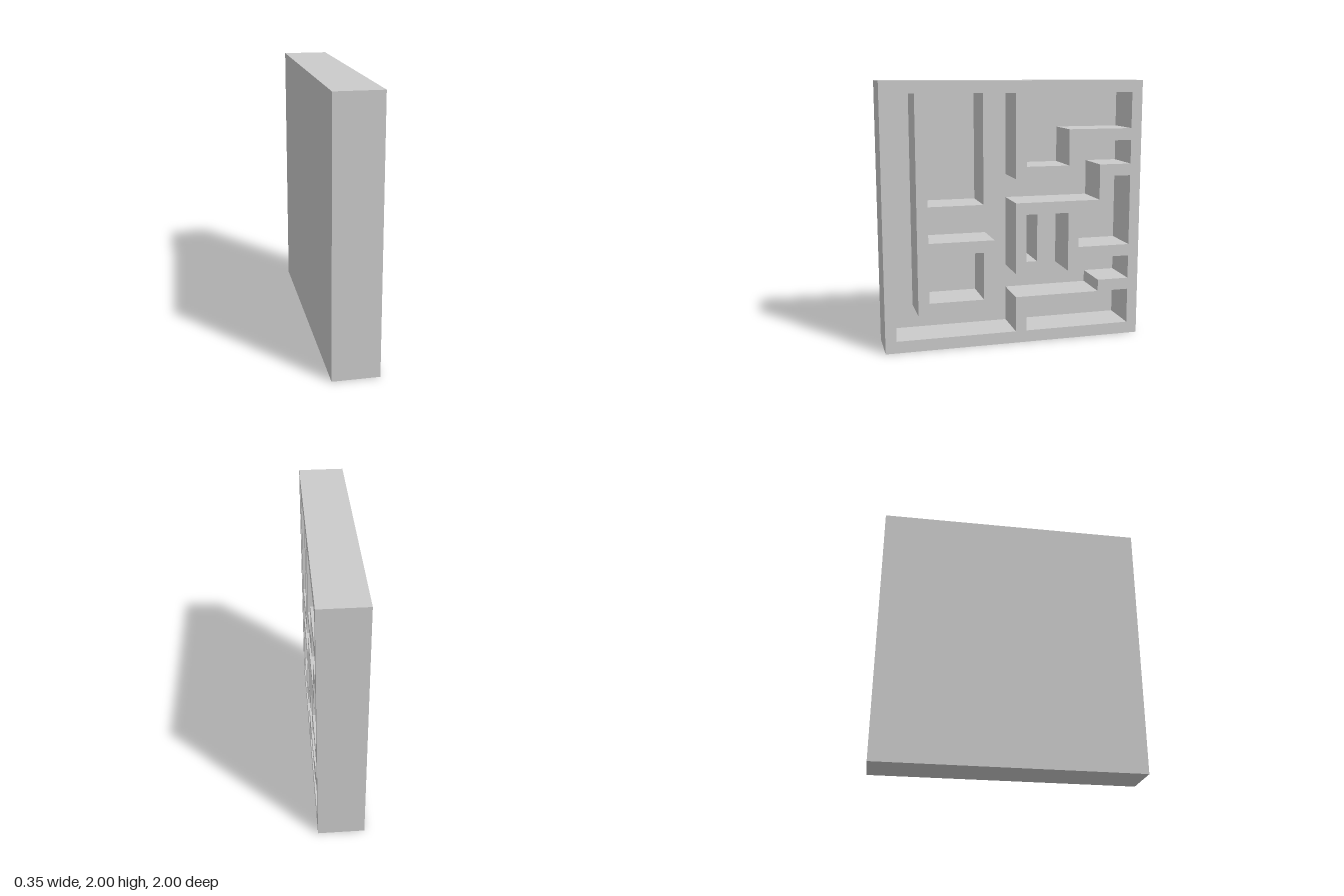
import * as THREE from 'three';

const DEPTH = 0.346;  // full thickness along x
const FLOOR = 0.03;   // thickness of the closed back

// Grid corner -> shape point: columns are 1/12 unit, rows 1/11 unit.
const corner = (col, row) => new THREE.Vector2(col / 12, row / 11);

// Right-angled outline from a start corner and alternating row / column stops.
function outline(col, row, ...stops) {
  const points = [corner(col, row)];
  stops.forEach((stop, i) => {
    if (i % 2 === 0) row = stop; else col = stop;
    points.push(corner(col, row));
  });
  return points;
}

export function createModel() {
  const group = new THREE.Group();
  group.name = 'mazePanel';
  const material = new THREE.MeshStandardMaterial({ color: 0xcccccc, flatShading: true });

  // Pockets between the maze walls, all clockwise
  const pockets = [
    outline(-8, 12, 21, -3, 12),                 // tall upper room
    outline(-8, 4, 8, -3, 4),                    // square lower room
    outline(1, 15, 21, 11, 18, 5, 15),           // stepped upper corner
    outline(1, 1, 3, 9, 4, 11, 1),               // stepped lower corner
    outline(1, 7, 11, 2, 7),                     // narrow slot
    outline(6, 8, 11, 9, 14, 11, 8),             // side room
    // winding main corridor
    outline(-11, 1, 21, -9, 3, -2, 9, -8, 11, -2, 21, 0, 14, 6, 17, 11, 15, 8, 12,
      0, 6, 3, 11, 5, 6, 6, 7, 11, 5, 8, 4, 0, 1),
  ];

  // Maze walls, extruded towards +x; the rim runs counterclockwise, against the pockets
  const shape = new THREE.Shape(outline(12, 0, 22, -12, 0));
  pockets.forEach((p) => shape.holes.push(new THREE.Path(p)));
  const wallGeometry = new THREE.ExtrudeGeometry(shape, { depth: DEPTH - FLOOR, bevelEnabled: false });
  wallGeometry.rotateY(Math.PI / 2);
  const walls = new THREE.Mesh(wallGeometry, material);
  walls.name = 'mazeWalls';
  walls.position.x = -DEPTH / 2 + FLOOR;
  group.add(walls);

  // Closed back
  const back = new THREE.Mesh(new THREE.BoxGeometry(FLOOR, 2, 2), material);
  back.name = 'backPlate';
  back.position.set(-DEPTH / 2 + FLOOR / 2, 1, 0);
  group.add(back);

  return group;
}
